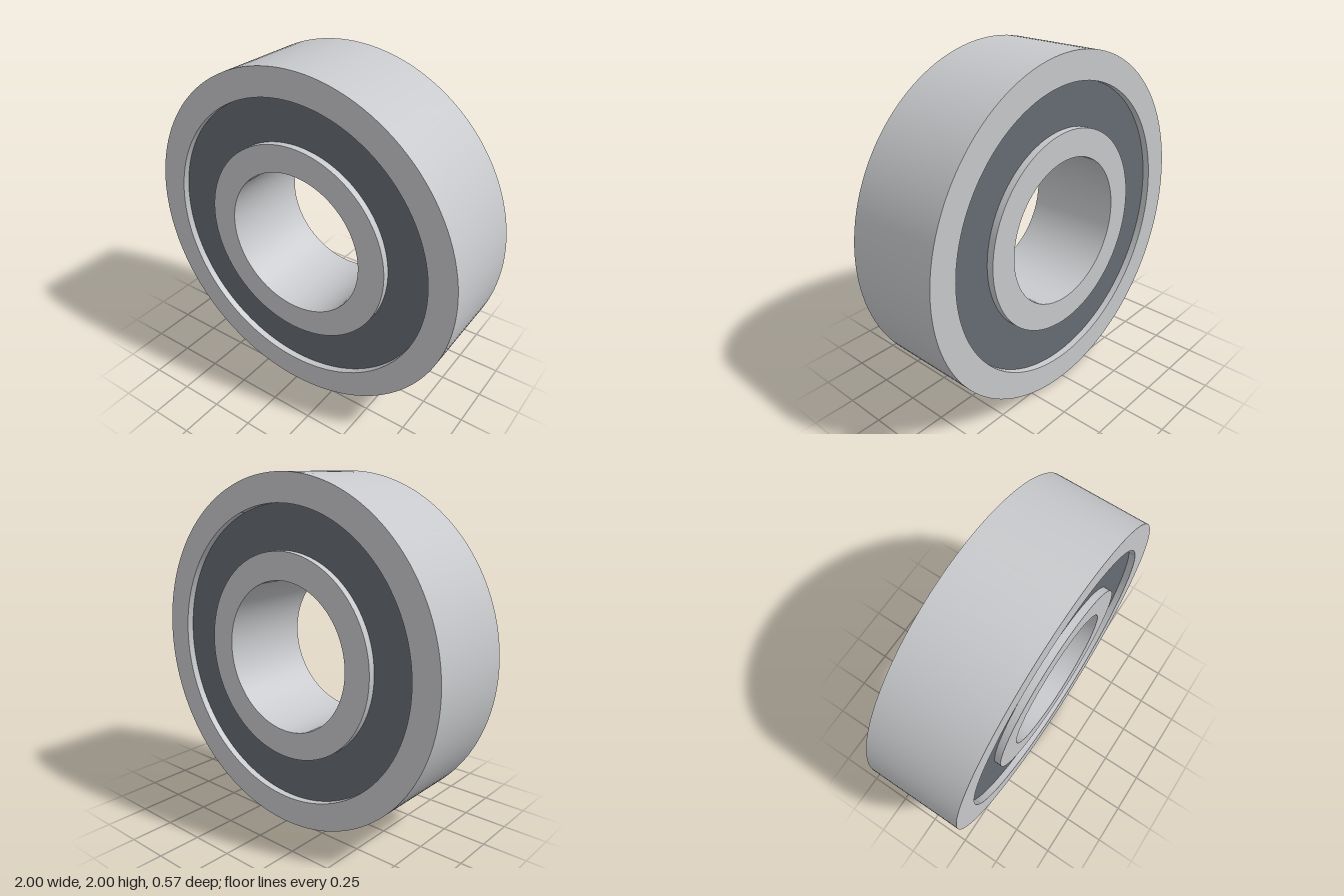
import * as THREE from 'three';
import { toCreasedNormals } from 'three/addons/utils/BufferGeometryUtils.js';

const HALF_WIDTH = 0.286;
const RECESS = 0.04;
const SEAL_THICKNESS = 0.04;

// Closed ring of rectangular section, axis along z, from z0 to z1
function ring(name, inner, outer, z0, z1, material) {
  const profile = [[outer, z0], [outer, z1], [inner, z1], [inner, z0], [outer, z0]]
    .map(([r, z]) => new THREE.Vector2(r, z));
  const lathe = new THREE.LatheGeometry(profile, 128).rotateX(Math.PI / 2);
  const mesh = new THREE.Mesh(toCreasedNormals(lathe, Math.PI / 6), material);
  mesh.name = name;
  mesh.position.y = 1;
  return mesh;
}

export function createModel() {
  const steel = new THREE.MeshStandardMaterial({ color: 0xc8c9cc });
  steel.name = 'steel';
  const rubber = new THREE.MeshStandardMaterial({ color: 0x666c73 });
  rubber.name = 'darkRubber';

  const bearing = new THREE.Group();
  bearing.name = 'ballBearing';

  // Outer and inner races
  bearing.add(ring('outerRace', 0.84, 1, -HALF_WIDTH, HALF_WIDTH, steel));
  bearing.add(ring('innerRace', 0.43, 0.588, -HALF_WIDTH, HALF_WIDTH, steel));

  // Recessed seals on both faces
  const face = HALF_WIDTH - RECESS;
  bearing.add(ring('frontSeal', 0.588, 0.84, face - SEAL_THICKNESS, face, rubber));
  bearing.add(ring('backSeal', 0.588, 0.84, -face, SEAL_THICKNESS - face, rubber));

  return bearing;
}
